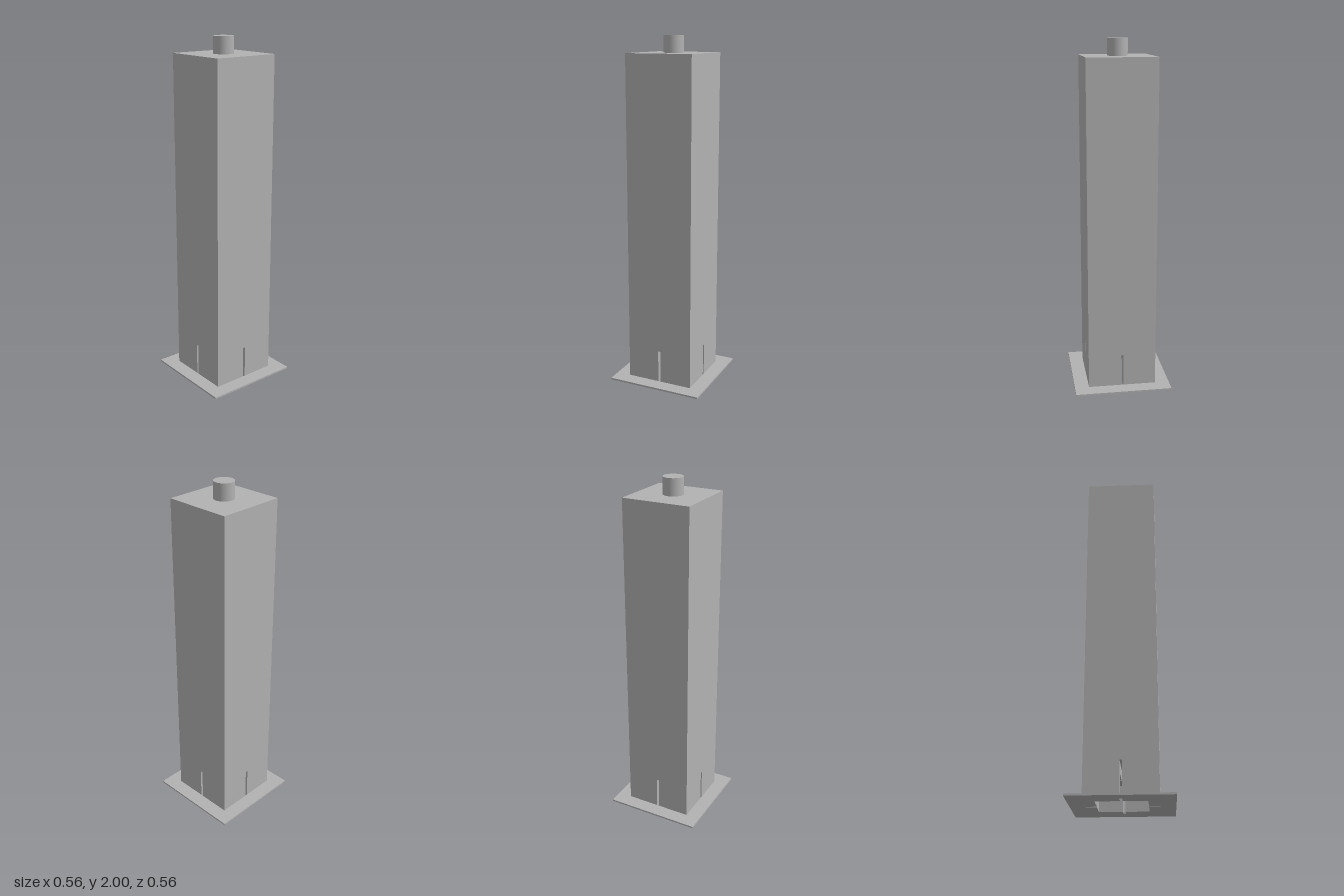
import * as THREE from 'three';

const BODY = 0.197, PLATE = 0.28, CAVITY = 0.137, SLOT = 0.007;
const PLATE_TOP = 0.01, CAVITY_TOP = 0.14, SLOT_TOP = 0.2, BODY_TOP = 1.905;

export function createModel() {
  const model = new THREE.Group();
  const grey = new THREE.MeshStandardMaterial({ color: 0xb2b2b2 });
  grey.name = 'grey';

  const add = (name, geometry, y = 0) => {
    const mesh = new THREE.Mesh(geometry, grey);
    mesh.name = name;
    mesh.position.y = y;
    model.add(mesh);
  };
  const points = (list) => list.map(([x, y]) => new THREE.Vector2(x, y));
  // Extrude a floor plan upwards from bottom to top
  const raise = (shape, bottom, top) =>
    new THREE.ExtrudeGeometry(shape, { depth: top - bottom, bevelEnabled: false })
      .rotateX(-Math.PI / 2).translate(0, bottom, 0);

  // Base plate, pierced by the square cavity and the four slots
  const plate = new THREE.Shape(points([[-PLATE, -PLATE], [PLATE, -PLATE], [PLATE, PLATE], [-PLATE, PLATE]]));
  const opening = [];
  for (let i = 0; i < 4; i++) {
    const c = Math.round(Math.cos(i * Math.PI / 2)), s = Math.round(Math.sin(i * Math.PI / 2));
    for (const [x, y] of [[CAVITY, -SLOT], [BODY, -SLOT], [BODY, SLOT], [CAVITY, SLOT], [CAVITY, CAVITY]]) {
      opening.push([x * c - y * s, x * s + y * c]);
    }
  }
  plate.holes.push(new THREE.Path(points(opening).reverse()));
  add('basePlate', raise(plate, 0, PLATE_TOP));

  // Slotted foot: corner walls round the cavity, solid quarters above it
  const wall = new THREE.Shape(points([
    [CAVITY, SLOT], [BODY, SLOT], [BODY, BODY], [SLOT, BODY], [SLOT, CAVITY], [CAVITY, CAVITY]]));
  const quarter = new THREE.Shape(points([[SLOT, SLOT], [BODY, SLOT], [BODY, BODY], [SLOT, BODY]]));
  for (let i = 0; i < 4; i++) {
    const turn = i * Math.PI / 2;
    add('footWall', raise(wall, PLATE_TOP, CAVITY_TOP).rotateY(turn));
    add('footQuarter', raise(quarter, CAVITY_TOP, SLOT_TOP).rotateY(turn));
  }

  // Tall square column
  const height = BODY_TOP - SLOT_TOP;
  add('column', new THREE.BoxGeometry(2 * BODY, height, 2 * BODY), SLOT_TOP + height / 2);

  // Round stub on top
  add('topStub', new THREE.CylinderGeometry(0.057, 0.057, 2 - BODY_TOP, 48), (2 + BODY_TOP) / 2);

  return model;
}
